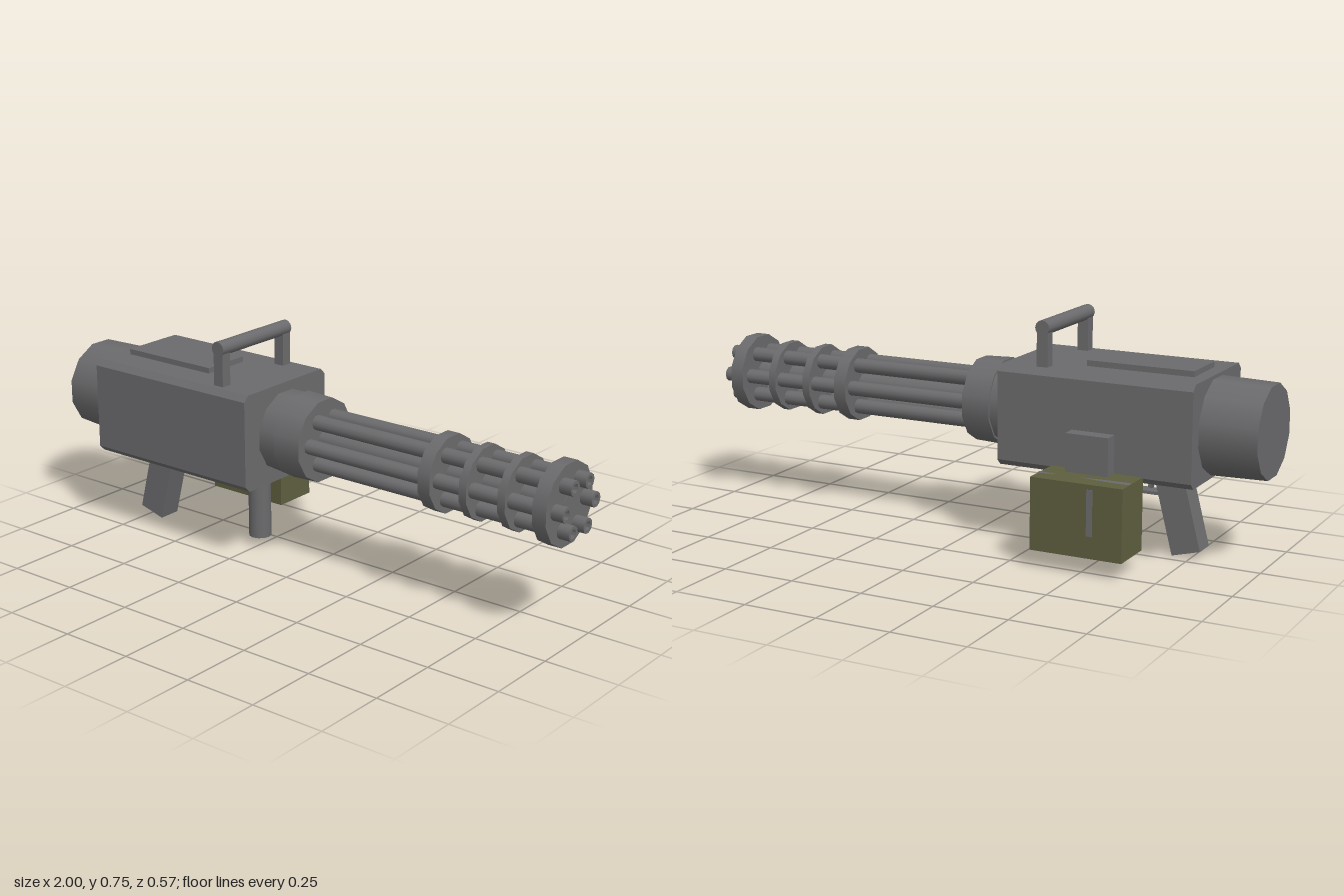
import * as THREE from 'three';
import { toCreasedNormals } from 'three/addons/utils/BufferGeometryUtils.js';

const AXIS_Y = 0.438, AXIS_Z = 0.079; // centre line of the rotary barrels

export function createModel() {
  const model = new THREE.Group();
  model.name = 'rotaryGun';
  const metal = new THREE.MeshStandardMaterial({ color: 0x6b6b6d });
  metal.name = 'gunmetal grey';
  const olive = new THREE.MeshStandardMaterial({ color: 0x5e5f3f });
  olive.name = 'olive green';

  const add = (name, geometry, material = metal, parent = model) => {
    const mesh = new THREE.Mesh(geometry, material);
    mesh.name = name;
    parent.add(mesh);
    return mesh;
  };

  // Box given by its minimum and maximum on each axis
  const box = (name, x0, x1, y0, y1, z0, z1, material = metal) => {
    const mesh = add(name, new THREE.BoxGeometry(x1 - x0, y1 - y0, z1 - z0), material);
    mesh.position.set((x0 + x1) / 2, (y0 + y1) / 2, (z0 + z1) / 2);
    return mesh;
  };

  // Twelve-sided drum along x, sized across its flats
  const drum = (name, x0, x1, flat0, flat1 = flat0) => {
    const k = 1 / Math.cos(Math.PI / 12);
    const g = new THREE.CylinderGeometry(flat1 * k, flat0 * k, x1 - x0, 12, 1, false, Math.PI / 12);
    const mesh = add(name, g.rotateZ(-Math.PI / 2));
    mesh.position.set((x0 + x1) / 2, AXIS_Y, AXIS_Z);
    return mesh;
  };

  const polygon = (points) => new THREE.Shape(points.map(([x, y]) => new THREE.Vector2(x, y)));

  // Receiver with chamfered long edges
  const y0 = 0.272, y1 = 0.604, a = -0.286, b = 0.128, c = 0.02;
  const section = polygon([
    [a + c, y0], [b - c, y0], [b, y0 + c], [b, y1 - c],
    [b - c, y1], [a + c, y1], [a, y1 - c], [a, y0 + c],
  ]);
  const receiver = new THREE.ExtrudeGeometry(section, { depth: 0.67, bevelEnabled: false });
  add('receiver', receiver.rotateY(Math.PI / 2)).position.x = -0.81;
  box('topCover', -0.765, -0.4, 0.6, 0.623, -0.009, 0.166);

  // Rear motor housing and front collars
  drum('motorHousing', -1, -0.8, 0.149, 0.154);
  drum('rearCollar', -0.15, -0.07, 0.134);
  drum('frontCollar', -0.073, 0.028, 0.141, 0.137);

  // Barrel clamps
  drum('barrelClamp', 0.49, 0.535, 0.124);
  drum('barrelClamp', 0.64, 0.667, 0.119);
  drum('barrelClamp', 0.78, 0.807, 0.119);
  drum('muzzleClamp', 0.91, 0.958, 0.131);

  // Central shaft
  const shaft = add('centralShaft', new THREE.CylinderGeometry(0.037, 0.037, 0.955, 10).rotateZ(-Math.PI / 2));
  shaft.position.set(0.4825, AXIS_Y, AXIS_Z);

  // Six barrels with hollow muzzles
  const profile = [[0.025, 0], [0.025, 1], [0.015, 1], [0.015, 0.93], [0, 0.93]]
    .map(([r, h]) => new THREE.Vector2(r, h));
  const barrelGeometry = toCreasedNormals(new THREE.LatheGeometry(profile, 10).rotateZ(-Math.PI / 2), 0.9);
  const barrels = new THREE.Group();
  barrels.name = 'barrels';
  model.add(barrels);
  for (let i = 0; i < 6; i++) {
    const t = (i * Math.PI) / 3;
    add('barrel', barrelGeometry, metal, barrels)
      .position.set(0, AXIS_Y + 0.083 * Math.sin(t), AXIS_Z + 0.083 * Math.cos(t));
  }

  // Carrying handle
  for (const z of [-0.075, 0.232]) {
    box('handlePost', -0.3, -0.262, 0.6, 0.715, z - 0.0185, z + 0.0185);
  }
  const bar = add('handleBar', new THREE.CylinderGeometry(0.025, 0.025, 0.346, 12).rotateX(Math.PI / 2));
  bar.position.set(-0.281, 0.73, AXIS_Z);

  // Front grip
  const frontGrip = add('frontGrip', new THREE.CylinderGeometry(0.039, 0.039, 0.25, 12));
  frontGrip.position.set(-0.258, 0.158, AXIS_Z);

  // Slanted side profiles, centred across the gun
  const slab = (name, points, width) => {
    const g = new THREE.ExtrudeGeometry(polygon(points), { depth: width, bevelEnabled: false });
    add(name, g).position.z = AXIS_Z - width / 2;
  };
  slab('rearGrip', [[-0.782, 0.026], [-0.686, 0], [-0.612, 0.285], [-0.715, 0.285]], 0.08);
  slab('trigger', [[-0.598, 0.205], [-0.585, 0.21], [-0.605, 0.28], [-0.625, 0.28]], 0.02);
  slab('triggerGuard', [
    [-0.64, 0.19], [-0.498, 0.19], [-0.498, 0.28], [-0.508, 0.28], [-0.508, 0.2], [-0.64, 0.2],
  ], 0.05);

  // Ammunition box and its bracket
  box('ammoBracket', -0.552, -0.405, 0.29, 0.421, -0.177, -0.12);
  box('ammoBox', -0.65, -0.336, 0.058, 0.296, -0.284, -0.126, olive);

  // Worn metal marks on the box
  box('backMark', -0.55, -0.53, 0.13, 0.28, -0.286, -0.283);
  box('frontMark', -0.545, -0.49, 0.151, 0.167, -0.127, -0.124);
  const topMark = (points) => {
    const g = new THREE.ShapeGeometry(polygon(points)).rotateX(-Math.PI / 2);
    add('topMark', g).position.y = 0.298;
  };
  topMark([[-0.65, 0.213], [-0.57, 0.216], [-0.48, 0.225], [-0.57, 0.236], [-0.65, 0.239]]);
  topMark([[-0.405, 0.225], [-0.336, 0.216], [-0.336, 0.236]]);

  return model;
}
